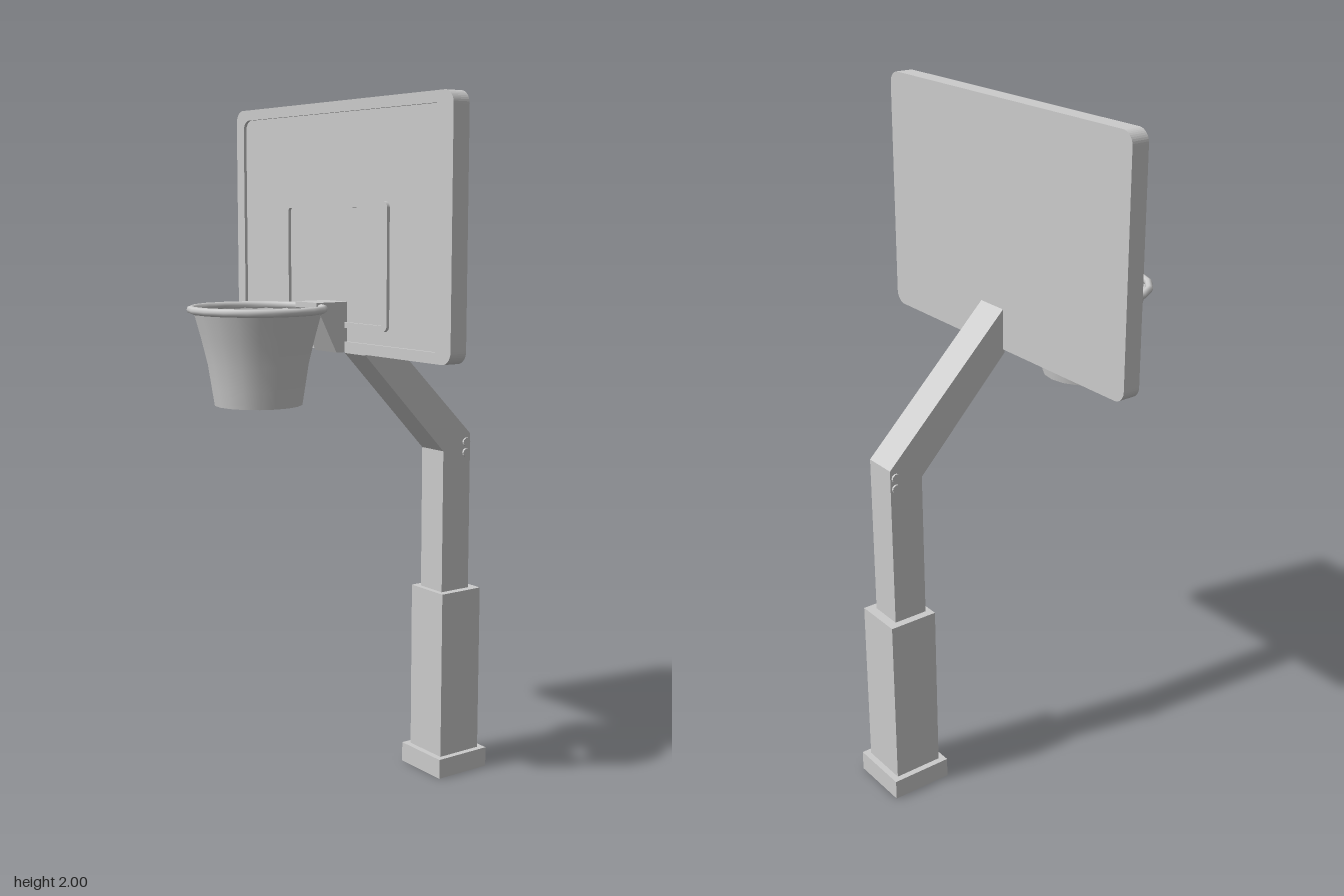
import * as THREE from 'three';

const mat = new THREE.MeshStandardMaterial({ color: 0xcccccc });
const flat = new THREE.MeshStandardMaterial({ color: 0xcccccc, flatShading: true });
const thin = new THREE.MeshStandardMaterial({ color: 0xcccccc, side: THREE.DoubleSide });

// Rounded rectangle between two corners, as a Shape or as a Path for holes
function roundedRect(Type, x0, y0, x1, y1, r) {
  const p = new Type();
  p.moveTo(x0 + r, y0);
  p.lineTo(x1 - r, y0).absarc(x1 - r, y0 + r, r, -Math.PI / 2, 0);
  p.lineTo(x1, y1 - r).absarc(x1 - r, y1 - r, r, 0, Math.PI / 2);
  p.lineTo(x0 + r, y1).absarc(x0 + r, y1 - r, r, Math.PI / 2, Math.PI);
  p.lineTo(x0, y0 + r).absarc(x0 + r, y0 + r, r, Math.PI, Math.PI * 1.5);
  return p;
}

// Plate extruded along z from z0 to z1
function plate(shape, z0, z1) {
  const g = new THREE.ExtrudeGeometry(shape, { depth: z1 - z0, bevelEnabled: false, curveSegments: 5 });
  return g.translate(0, 0, z0);
}

// Side profile given as [z, y] points, extruded across x
function sideProfile(points, width, cx) {
  const shape = new THREE.Shape(points.map(([z, y]) => new THREE.Vector2(z, y)));
  const g = new THREE.ExtrudeGeometry(shape, { depth: width, bevelEnabled: false });
  return g.rotateY(-Math.PI / 2).translate(cx + width / 2, 0, 0);
}

export function createModel() {
  const root = new THREE.Group();
  root.name = 'basketballHoop';
  const add = (name, geometry, material = flat, parent = root) => {
    const m = new THREE.Mesh(geometry, material);
    m.name = name;
    parent.add(m);
    return m;
  };

  // Square base and sleeve of the stand
  const px = 0.037, pz = -0.374;
  add('base', new THREE.BoxGeometry(0.184, 0.06, 0.184)).position.set(px, 0.03, pz);
  add('sleeve', new THREE.BoxGeometry(0.147, 0.51, 0.147)).position.set(px, 0.315, pz);

  // Post and the slanted arm that carries the board
  add('post', sideProfile([[-0.42, 0.56], [-0.317, 0.56], [-0.317, 1.0], [-0.42, 1.0]], 0.1, px));
  add('arm', sideProfile([
    [-0.42, 1.0], [-0.317, 1.0], [-0.03, 1.3], [-0.03, 1.432], [-0.42, 1.045],
  ], 0.1, px));

  // Bolts through the top of the post
  for (const y of [1.021, 0.989]) {
    const bolt = add('bolt', new THREE.CylinderGeometry(0.013, 0.013, 0.112, 10));
    bolt.rotation.z = Math.PI / 2;
    bolt.position.set(px, y, -0.403);
  }

  // Backboard: back plate, raised border and raised target frame
  const board = new THREE.Group();
  board.name = 'backboard';
  root.add(board);
  const zBack = -0.035, zPanel = 0.008, zFront = 0.017;
  add('panel', plate(roundedRect(THREE.Shape, -0.515, 1.31, 0.515, 2, 0.035), zBack, zPanel), mat, board);
  const border = roundedRect(THREE.Shape, -0.515, 1.31, 0.515, 2, 0.035);
  border.holes.push(roundedRect(THREE.Path, -0.475, 1.34, 0.475, 1.97, 0.03));
  add('border', plate(border, zPanel, zFront), mat, board);
  const frame = roundedRect(THREE.Shape, -0.25, 1.378, 0.245, 1.727, 0.018);
  frame.holes.push(roundedRect(THREE.Path, -0.232, 1.394, 0.227, 1.71, 0.01));
  add('targetFrame', plate(frame, zPanel, zFront), mat, board);

  // Bracket between board and rim
  add('bracket', sideProfile([
    [0.0, 1.31], [0.045, 1.31], [0.1, 1.418], [0.112, 1.435], [0.112, 1.451], [0.0, 1.451],
  ], 0.105, -0.0015));

  // Rim and the open, flared net
  const hoop = new THREE.Group();
  hoop.name = 'hoop';
  hoop.position.set(-0.008, 0, 0.267);
  root.add(hoop);
  const rim = add('rim', new THREE.TorusGeometry(0.182, 0.011, 8, 18), mat, hoop);
  rim.rotation.x = Math.PI / 2;
  rim.position.y = 1.437;
  const netProfile = [[0.122, 1.175], [0.129, 1.22], [0.14, 1.29], [0.157, 1.36], [0.178, 1.437]]
    .map(([r, y]) => new THREE.Vector2(r, y));
  add('net', new THREE.LatheGeometry(netProfile, 18), thin, hoop);

  return root;
}
